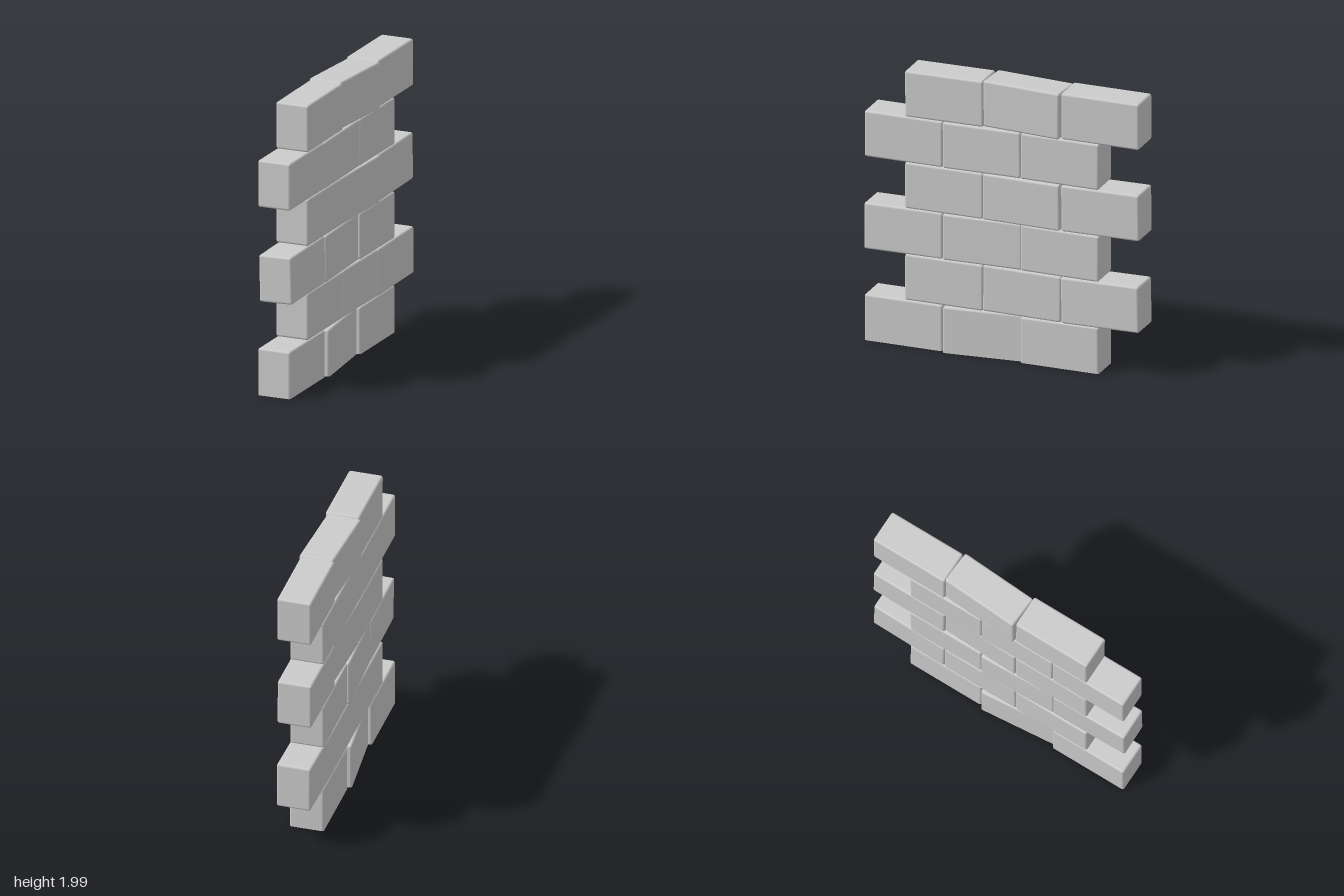
import * as THREE from 'three';
import { RoundedBoxGeometry } from 'three/addons/geometries/RoundedBoxGeometry.js';

const ROW_HEIGHT = 0.3315, LENGTH = 0.568, WIDTH = 0.24, BEVEL = 0.016;

// Placement of each brick, front to back: [x shift, yaw, pitch, roll]
const COURSES = [
  [[0, 0, 0, 0], [0, 0.09, 0, 0], [0, 0, 0.006, 0]],
  [[0, 0, 0, 0], [0, 0, -0.008, 0], [0.003, -0.01, 0.018, 0]],
  [[0.007, 0.012, 0.004, 0.02], [-0.002, 0.035, 0, 0], [0, 0.006, -0.008, 0]],
  [[0, 0, 0, 0], [0.008, -0.035, 0.006, 0], [0, 0, 0.012, 0]],
  [[0, 0, 0, 0], [0, 0, 0.01, 0], [0, 0.004, -0.006, 0]],
  [[0, 0, 0.008, 0], [0, -0.062, -0.008, 0], [0.002, 0, 0, 0]],
];

export function createModel() {
  const wall = new THREE.Group();
  wall.name = 'brickWall';
  const material = new THREE.MeshStandardMaterial({ color: 0xcccccc });

  COURSES.forEach((course, row) => {
    const group = new THREE.Group();
    group.name = `course${row + 1}`;
    // Alternate courses are set back by half a brick
    const frontEnd = row % 2 ? 0.704 : 0.998;

    course.forEach(([shift, yaw, pitch, roll], i) => {
      // The lowest bricks reach below the ground and are cut flat there
      const sink = row === 0 ? 0.03 : 0;
      const geometry = new RoundedBoxGeometry(WIDTH, ROW_HEIGHT + sink, LENGTH, 2, BEVEL);
      geometry.applyMatrix4(new THREE.Matrix4().makeRotationFromEuler(new THREE.Euler(pitch, yaw, roll)));
      geometry.translate(shift, (row + 0.5) * ROW_HEIGHT - sink / 2, frontEnd - (i + 0.5) * LENGTH);
      if (row === 0) {
        const p = geometry.attributes.position;
        for (let v = 0; v < p.count; v++) p.setY(v, Math.max(0, p.getY(v)));
      }
      const brick = new THREE.Mesh(geometry, material);
      brick.name = `brick${i + 1}`;
      group.add(brick);
    });
    wall.add(group);
  });
  return wall;
}
